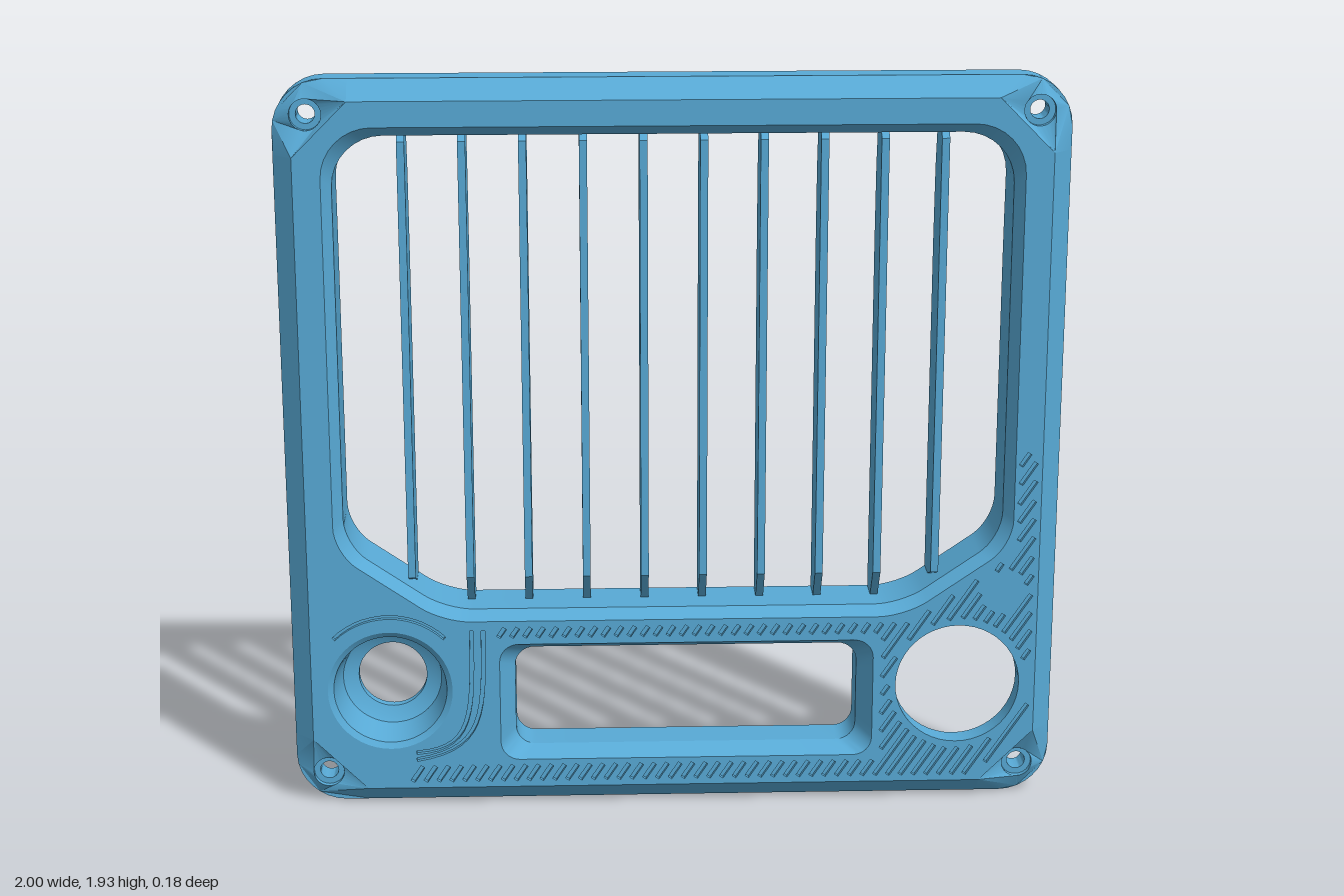
import * as THREE from 'three';
import { toCreasedNormals } from 'three/addons/utils/BufferGeometryUtils.js';

const V = (x, y) => new THREE.Vector2(x, y);
const MID = 0.965; // half the height

// Polygon with rounded corners; each corner is [x, y, tangent length]
function rounded(corners) {
  const n = corners.length;
  const arcs = corners.map(([x, y, t], i) => {
    const c = V(x, y);
    const toward = (k) => {
      const [a, b] = corners[(i + k + n) % n];
      return V(a, b).sub(c).normalize();
    };
    const a = toward(-1), b = toward(1);
    const at = (d, s) => c.clone().addScaledVector(d, t * s);
    return new THREE.CubicBezierCurve(at(a, 1), at(a, 0.45), at(b, 0.45), at(b, 1)).getPoints(8);
  });
  const pts = [];
  arcs.forEach((arc, i) => {
    pts.push(...arc);
    const from = arc[8], to = arcs[(i + 1) % n][0];
    for (let k = 1; k < 8; k++) pts.push(from.clone().lerp(to, k / 8));
  });
  return pts;
}

const roundedBox = (cx, cy, hw, hh, r) => rounded([
  [cx + hw, cy + hh, r], [cx - hw, cy + hh, r], [cx - hw, cy - hh, r], [cx + hw, cy - hh, r]]);

const circle = (x, y, r) => Array.from({ length: 48 }, (_, i) =>
  V(x + r * Math.cos(i * Math.PI / 24), y + r * Math.sin(i * Math.PI / 24)));

// Grille opening grown by o, with the lower corners cut off
const opening = (o) => rounded([
  [0.855 + o, 1.79 + o, 0.13], [-0.855 - o, 1.79 + o, 0.13],
  [-0.855 - o, 0.72 - 0.52 * o, 0.07], [-0.595 - 0.31 * o, 0.54 - o, 0.07],
  [0.595 + 0.31 * o, 0.54 - o, 0.07], [0.855 + o, 0.72 - 0.52 * o, 0.07]]);

function solid(outline, holes, depth) {
  const shape = new THREE.Shape(outline);
  shape.holes = holes.map((h) => new THREE.Path(h));
  return new THREE.ExtrudeGeometry(shape, { depth, bevelEnabled: false });
}

// Strip joining two equal point lists at two depths
function band(a, za, b, zb, closed = true) {
  const pos = [], idx = [], n = a.length;
  a.forEach((p, i) => pos.push(p.x, p.y, za, b[i].x, b[i].y, zb));
  for (let i = 0; i < (closed ? n : n - 1); i++) {
    const p = 2 * i, q = 2 * ((i + 1) % n);
    idx.push(p, q, p + 1, q, q + 1, p + 1);
  }
  const g = new THREE.BufferGeometry();
  g.setAttribute('position', new THREE.Float32BufferAttribute(pos, 3));
  g.setIndex(idx);
  return g;
}

// Plate standing across x, from a (z, y) profile
function fin(profile, x, w) {
  return solid(profile.map(([z, y]) => V(z, y)), [], w).rotateY(-Math.PI / 2).translate(x + w / 2, 0, 0);
}

// Ribbon outline of width w along a list of points
function ribbon(pts, w) {
  const left = [], right = [];
  pts.forEach((p, i) => {
    const d = pts[Math.min(i + 1, pts.length - 1)].clone().sub(pts[Math.max(i - 1, 0)]).normalize();
    left.push(V(p.x - d.y * w / 2, p.y + d.x * w / 2));
    right.unshift(V(p.x + d.y * w / 2, p.y - d.x * w / 2));
  });
  return [...left, ...right];
}

// Where the slanted decorative grooves may run
function grooveZone(x, y) {
  if (y < 0.065 || x > 0.935 || Math.abs(x) + Math.abs(y - MID) > 1.69) return false;
  if (Math.hypot(x - 0.745, y - 0.325) < 0.18 || Math.hypot(x - 0.86, y - 0.58) < 0.06) return false;
  if (x < 0.545) return (x > -0.7 && y < 0.11) || (x > -0.46 && y > 0.467 && y < 0.497);
  if (x > 0.893) return y < 0.96;
  return y < 0.497 + Math.max(0, x - 0.62) * 0.69;
}

function grooves() {
  const list = [], dx = 0.55, dy = 0.83;
  for (let x0 = -0.8; x0 < 0.95; x0 += 0.034) {
    let start = null, last = null;
    for (let s = 0; s < 1.2; s += 0.005) {
      const p = V(x0 + dx * s, 0.06 + dy * s);
      if (grooveZone(p.x, p.y)) {
        start = start || p;
        last = p;
      } else if (start) {
        if (last.distanceTo(start) > 0.02) list.push(ribbon([start, last], 0.012));
        start = null;
      }
    }
  }
  // Sweeping lines beside the dial and the arc above it
  for (const [x, y] of [[-0.5, 0.13], [-0.53, 0.15]]) {
    const c = new THREE.CubicBezierCurve(V(x, 0.49), V(x, 0.25), V(x, 0.16), V(-0.68, y));
    list.push(ribbon(c.getPoints(14), 0.01));
  }
  const arc = Array.from({ length: 15 }, (_, i) => {
    const a = (45 + i * 6.4) * Math.PI / 180;
    return V(-0.745 + 0.205 * Math.cos(a), 0.325 + 0.205 * Math.sin(a));
  });
  list.push(ribbon(arc, 0.01));
  return list;
}

export function createModel() {
  const group = new THREE.Group();
  const material = new THREE.MeshStandardMaterial({ color: 0x58aad6, side: THREE.DoubleSide });
  const add = (name, geometry, z = 0) => {
    const mesh = new THREE.Mesh(toCreasedNormals(geometry, 0.5), material);
    mesh.name = name;
    mesh.position.z = z;
    group.add(mesh);
    return mesh;
  };

  const outer = roundedBox(0, MID, 1, MID, 0.13);
  const corners = [[1, 1], [-1, 1], [-1, -1], [1, -1]];
  const faceEdge = corners.flatMap(([sx, sy]) => {
    const p = [V(sx * 0.95, MID + sy * 0.775), V(sx * 0.81, MID + sy * 0.915)];
    return sx * sy > 0 ? p : p.reverse();
  });
  const screws = corners.map(([sx, sy]) => [sx * 0.915, MID + sy * 0.878]);
  const windowAt = (hw, hh) => roundedBox(0.032, 0.289, hw, hh, 0.05);
  const cutouts = [opening(0.025), windowAt(0.49, 0.162), circle(-0.745, 0.325, 0.163), circle(0.745, 0.325, 0.163)];

  // Panel in layers: grooved face, core, backing and rear rim
  add('grooved face', solid(faceEdge, [...cutouts, ...grooves()], 0.012), 0.078);
  add('panel core', solid(faceEdge, cutouts, 0.038), 0.04);
  add('panel backing', solid(outer, [...cutouts, ...screws.map(([x, y]) => circle(x, y, 0.04))], 0.01), 0.03);
  add('rear rim', solid(outer, [roundedBox(0, MID, 0.965, MID - 0.035, 0.1)], 0.065), -0.035);

  // Sloped edges
  for (const s of [-1, 1]) {
    add('side chamfer', band([V(s, 0.19), V(s, 1.74)], 0.04, [V(s * 0.95, 0.19), V(s * 0.95, 1.74)], 0.09, false));
    const y0 = MID + s * MID, y1 = MID + s * 0.915;
    add('end chamfer', band([V(-0.81, y0), V(0.81, y0)], 0.04, [V(-0.81, y1), V(0.81, y1)], 0.09, false));
  }

  // Sloped corners, each with a screw seat
  const arc = new THREE.CubicBezierCurve(V(1, 0.835), V(1, 0.9065), V(0.9415, 0.965), V(0.87, 0.965)).getPoints(8);
  corners.forEach(([sx, sy], i) => {
    const [hx, hy] = screws[i];
    const pts = [V(0.95, 0.775), V(1, 0.775), ...arc, V(0.81, 0.965), V(0.81, 0.915)];
    const shape = new THREE.Shape(pts.map((p) => V(sx * p.x, MID + sy * p.y)));
    shape.holes.push(new THREE.Path(circle(hx, hy, 0.04)));
    const g = new THREE.ShapeGeometry(shape);
    const p = g.attributes.position;
    for (let k = 0; k < p.count; k++) {
      const x = p.getX(k), y = p.getY(k);
      const onFace = Math.abs(x) + Math.abs(y - MID) < 1.74;
      p.setZ(k, Math.hypot(x - hx, y - hy) < 0.042 ? 0.06 : onFace ? 0.09 : 0.04);
    }
    add('corner chamfer', g);
    const boss = [[0.04, 0.06], [0.04, 0.045], [0.024, 0.045], [0.024, -0.02], [0.048, -0.02], [0.048, 0.032]];
    add('screw boss', new THREE.LatheGeometry(boss.map(([r, z]) => V(r, z)), 32).rotateX(Math.PI / 2)).position.set(hx, hy, 0);
  });

  // Grille collar, its rear edge tapering toward the top
  const rearEdge = (y) => y < 1.48 ? -0.088
    : y < 1.68 ? -0.088 + (y - 1.48) * 0.04 : -0.08 + (y - 1.68) * 0.18;
  const collar = solid(opening(0.028), [opening(0)], 1);
  const cp = collar.attributes.position;
  for (let k = 0; k < cp.count; k++) cp.setZ(k, cp.getZ(k) > 0.5 ? 0.06 : rearEdge(cp.getY(k)));
  add('grille collar', collar);
  add('grille bevel', band(opening(0.025), 0.09, opening(0), 0.06));

  // Ten upright grille fins
  for (let i = 0; i < 10; i++) {
    const x = -0.683 + i * 0.1518;
    const low = 0.535 + Math.max(0, Math.abs(x) - 0.595) * 0.69;
    add('grille fin', fin([[-0.085, low], [-0.02, low], [0.04, 0.62], [0.04, 1.77], [0.02, 1.795],
      [-0.056, 1.795], [-0.077, 1.68], [-0.085, 1.48]], x, 0.02));
  }

  // Display window
  add('window collar', solid(windowAt(0.475, 0.156), [windowAt(0.45, 0.137)], 0.1), -0.06);
  add('window bevel', band(windowAt(0.49, 0.162), 0.09, windowAt(0.45, 0.137), 0.04));

  // Dial cup with centre hole
  const cup = [[0.163, 0.09], [0.148, 0.08], [0.13, -0.015], [0.115, -0.025], [0.09, -0.035],
    [0.09, -0.06], [0.12, -0.06], [0.165, -0.01], [0.175, 0.032]];
  add('dial cup', new THREE.LatheGeometry(cup.map(([r, z]) => V(r, z)), 48).rotateX(Math.PI / 2))
    .position.set(-0.745, 0.325, 0);

  // Snap clips inside the rim
  for (const s of [-1, 1]) {
    add('snap clip', fin([[0.03, 0.85], [0.03, 1.09], [-0.035, 1.09], [-0.078, 1.05], [-0.085, 0.97],
      [-0.078, 0.89], [-0.035, 0.85]], s * 0.951, 0.028));
  }
  return group;
}
